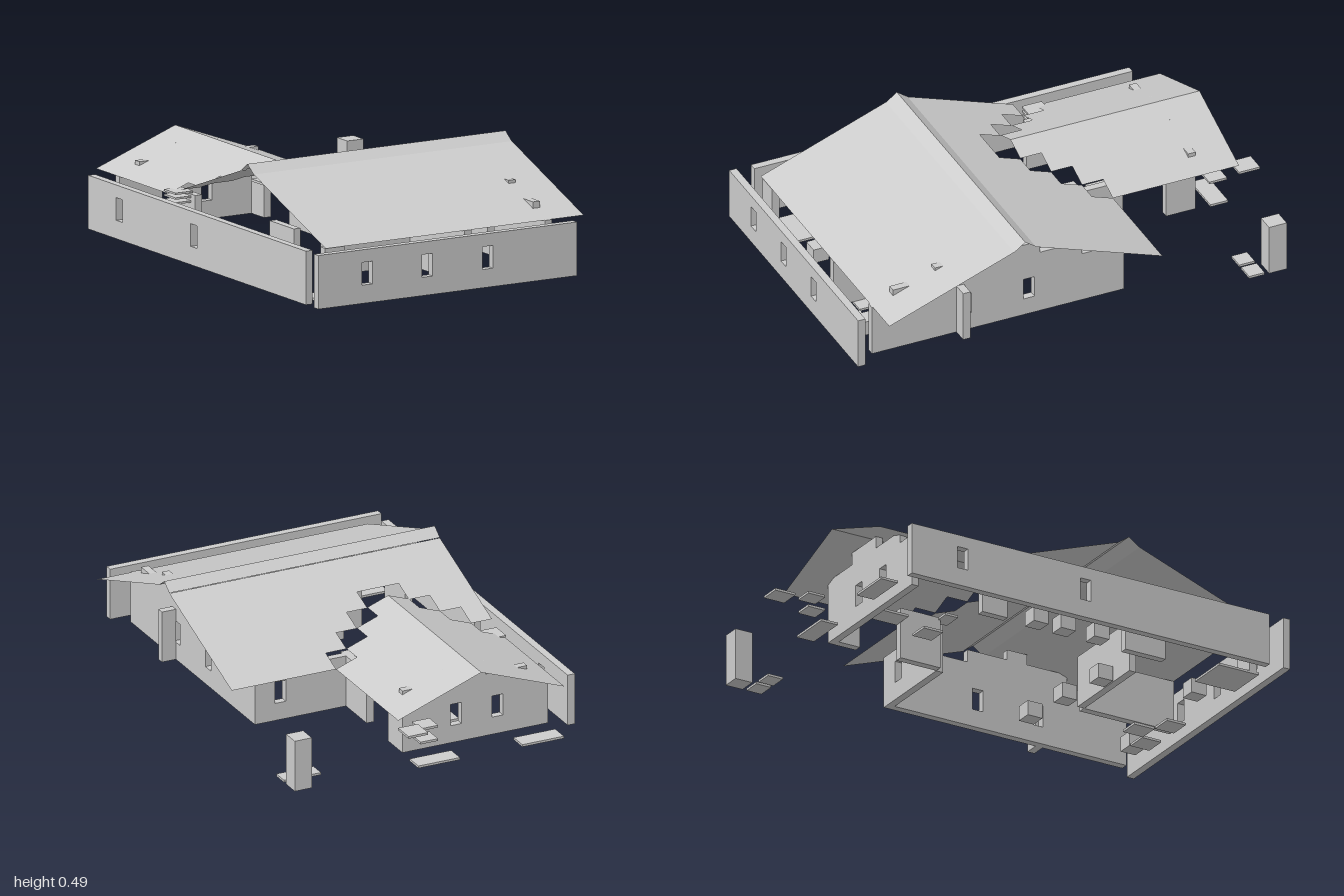
import * as THREE from 'three';

export function createModel() {
  const root = new THREE.Group();
  root.name = 'ruinedHouse';
  const grey = new THREE.MeshStandardMaterial({ color: 0xcccccc, side: THREE.DoubleSide, flatShading: true });
  grey.name = 'stone grey';
  const BASE = 0.025, TOP = 0.25, THICK = 0.033, CELL = 0.095;

  function add(name, geometry) {
    const mesh = new THREE.Mesh(geometry, grey);
    mesh.name = name;
    root.add(mesh);
    return mesh;
  }

  // Block given by its lower and upper limits on each axis
  function block(name, x0, x1, y0, y1, z0, z1) {
    add(name, new THREE.BoxGeometry(x1 - x0, y1 - y0, z1 - z0))
      .position.set((x0 + x1) / 2, (y0 + y1) / 2, (z0 + z1) / 2);
  }

  // Wall with a stepped top: steps are [start, height]; windows are centres along it
  function wall(name, dir, at, from, to, windows = [], steps = [[from, TOP]]) {
    const s = new THREE.Shape();
    s.moveTo(to, BASE);
    s.lineTo(from, BASE);
    steps.forEach(([start, h], i) => {
      s.lineTo(start, h);
      s.lineTo(i + 1 < steps.length ? steps[i + 1][0] : to, h);
    });
    s.closePath();
    for (const c of windows) {
      const p = new THREE.Path();
      p.moveTo(c - 0.025, 0.102);
      p.lineTo(c - 0.025, 0.197);
      p.lineTo(c + 0.025, 0.197);
      p.lineTo(c + 0.025, 0.102);
      p.closePath();
      s.holes.push(p);
    }
    const mesh = add(name, new THREE.ExtrudeGeometry(s, { depth: THICK, bevelEnabled: false }));
    if (dir === 'x') mesh.position.z = at;
    else {
      mesh.rotation.y = -Math.PI / 2;
      mesh.position.x = at + THICK;
    }
  }

  // Roof made of flat four-cornered panels
  function roof(name, panels) {
    const pos = [];
    for (const [a, b, c, d] of panels) pos.push(...a, ...b, ...c, ...a, ...c, ...d);
    const g = new THREE.BufferGeometry();
    g.setAttribute('position', new THREE.Float32BufferAttribute(pos, 3));
    g.computeVertexNormals();
    add(name, g);
  }

  // Panel spanning x0..x1 and z0..z1, heights from a rule; corners turn upward
  const panel = (x0, x1, z0, z1, h) => [
    [x0, h(x0, z0), z0], [x0, h(x0, z1), z1], [x1, h(x1, z1), z1], [x1, h(x1, z0), z0]];

  // Main roof, with a steeper ridge cap
  const L = -0.575, R = 0.662;
  const frontH = (x, z) => 0.25 + (0.9 - z) * 0.363;
  const backH = (x, z) => 0.25 + (z + 0.335) * 0.357;
  const capH = (x, z) => 0.49 - Math.abs(z - 0.285) * 0.72;
  roof('mainRoofFront', [panel(L, R, 0.335, 0.9, frontH)]);
  roof('ridgeCap', [panel(L, R, 0.285, 0.335, capH), panel(L, R, 0.238, 0.285, capH)]);

  // Stepped valley between the back slope and the wing roof
  const valley = [3, 2, 1, 0, 0, 1, 2, 3];
  const wingH = (x) => 0.25 + (0.38 - Math.abs(x + 0.195)) * 0.368;
  const mainBack = [panel(0.185, R, -0.335, 0.238, backH)];
  const wing = [];
  valley.forEach((n, i) => {
    const x0 = L + i * CELL, x1 = x0 + CELL;
    mainBack.push(panel(x0, x1, 0.045 - n * CELL, 0.238, backH));
    wing.push(panel(x0, x1, -0.905, -0.05 - n * CELL, wingH));
  });
  roof('mainRoofBack', mainBack);
  roof('wingRoof', wing);

  // Outer walls
  wall('frontWall', 'x', 0.965, -0.67, 0.57, [-0.435, -0.147, 0.142]);
  wall('rightYardWall', 'z', -0.67, -0.81, 0.9, [0.02, -0.567]);
  wall('leftGableWall', 'z', 0.473, -0.235, 0.905, [0.195, 0.48], [
    [-0.235, 0.25], [-0.045, 0.31], [0.145, 0.365], [0.335, 0.41],
    [0.43, 0.365], [0.62, 0.31], [0.81, 0.25]]);
  wall('wingGableWall', 'x', -0.753, L, 0.09, [-0.156, -0.345], [
    [L, 0.25], [-0.48, 0.302], [-0.29, 0.355], [-0.1, 0.302]]);
  wall('backWall', 'x', -0.235, 0.09, 0.473, [0.39]);
  wall('wingSideWall', 'z', 0.057, -0.425, -0.235);
  wall('wingSidePier', 'z', 0.057, -0.72, -0.62);

  // Inner walls and stubs
  wall('buttress', 'x', 0.49, 0.506, 0.57);
  wall('innerWall', 'z', 0.09, 0.47, 0.9);
  wall('innerCrossWall', 'x', 0.44, -0.32, 0.09);
  wall('innerStub', 'z', -0.49, 0.32, 0.51);
  wall('cornerStub', 'x', 0.86, -0.575, -0.48);
  wall('wingStub', 'z', -0.5, -0.37, -0.25);

  // Free-standing pillar
  block('pillar', 0.577, 0.655, BASE, TOP, -0.9, -0.82);

  // Furniture blocks
  const blocks = [[-0.5, 0.18], [-0.5, 0.02], [-0.5, -0.11], [-0.24, 0.8],
    [0.295, 0.34], [0.07, 0.37], [-0.165, 0.4], [0.335, 0.85]];
  for (const [x, z] of blocks) block('furnitureBlock', x - 0.035, x + 0.035, BASE, 0.09, z - 0.035, z + 0.035);

  // Loose slabs: x0, x1, z0, z1, bottom
  const slabs = [
    [0.485, 0.56, -0.8, -0.73, 0.025], [0.577, 0.655, -0.8, -0.73, 0.025],
    [0.095, 0.185, -1, -0.905, 0.207], [0, 0.08, -0.9, -0.82, 0.18],
    [0, 0.08, -0.9, -0.82, 0.12], [-0.1, 0.09, -0.9, -0.82, 0.015],
    [-0.575, -0.385, -0.9, -0.82, 0.015], [-0.575, -0.385, 0.715, 0.905, 0.015],
    [-0.285, -0.195, -0.52, -0.43, 0], [0.19, 0.285, 0.81, 0.9, 0.015],
    [0.095, 0.185, 0.715, 0.81, 0.015], [-0.005, 0.09, 0.81, 0.9, 0.015],
    [-0.005, 0.09, -0.62, -0.425, 0.185]];
  for (const [x0, x1, z0, z1, y] of slabs) block('slab', x0, x1, y, y + 0.01, z0, z1);

  // Loose slabs stacked under the open valley
  for (let i = 0; i < 3; i++) block('valleySlab', L, -0.49, 0.215 + i * 0.02, 0.223 + i * 0.02, -0.37, -0.28);
  block('valleySlab', 0, 0.09, 0.24, 0.25, -0.245, -0.185);

  return root;
}
